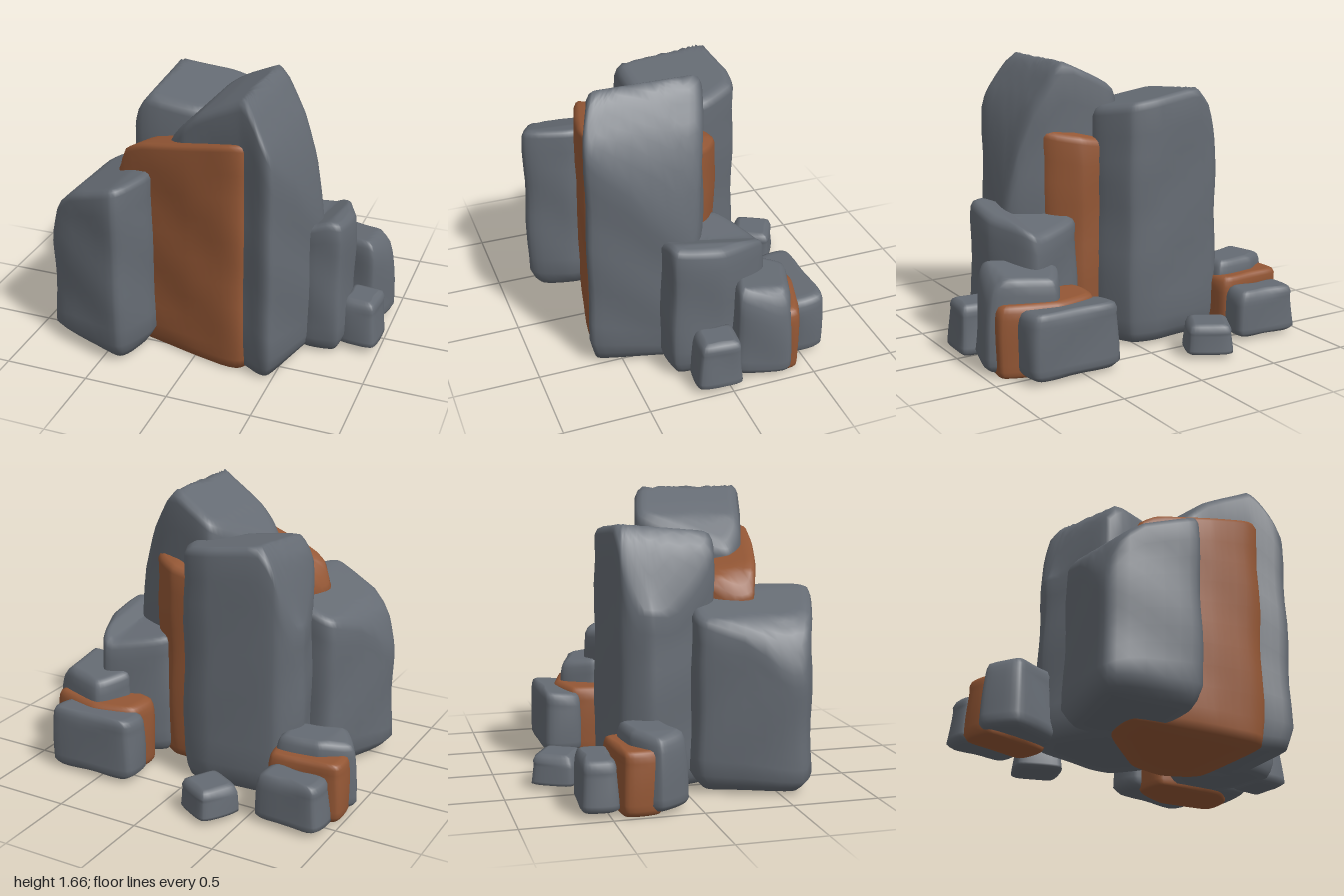
import * as THREE from 'three';

const stone = new THREE.MeshStandardMaterial({ color: 0x656b73 });
stone.name = 'greyStone';
const clay = new THREE.MeshStandardMaterial({ color: 0x945735 });
clay.name = 'rustClay';

// Rounds a closed outline by cutting its corners
function soften(points) {
  let pts = points;
  for (const cut of [0.13, 0.25, 0.25]) {
    pts = pts.flatMap((p, i) => {
      const q = pts[(i + 1) % pts.length];
      const at = (t) => [p[0] + (q[0] - p[0]) * t, p[1] + (q[1] - p[1]) * t];
      return [at(cut), at(1 - cut)];
    });
  }
  return pts;
}

// Four-cornered footprint turned about its centre
function block(x, z, width, depth, turn = 0) {
  const c = Math.cos(turn), s = Math.sin(turn);
  return [[-1, -1], [1, -1], [1, 1], [-1, 1]].map(([u, v]) => {
    const dx = u * width / 2, dz = v * depth / 2;
    return [x + dx * c - dz * s, z + dx * s + dz * c];
  });
}

// Height along x from a list of [x, height] pairs
function profileAt(profile, x) {
  if (x <= profile[0][0]) return profile[0][1];
  for (let i = 1; i < profile.length; i++) {
    const [x0, h0] = profile[i - 1], [x1, h1] = profile[i];
    if (x <= x1) return h0 + (h1 - h0) * (x - x0) / (x1 - x0);
  }
  return profile[profile.length - 1][1];
}

// Rings of a boulder from the underside centre, up the walls, to the top centre
function makeRings(bevel, foot, taper) {
  const rings = [
    { scale: 0, inset: 0, wall: 0 }, { scale: 0.6, inset: 0, wall: 0 },
    { scale: 1, inset: foot, wall: 0 }, { scale: 1, inset: foot / 2, wall: 0.04 },
  ];
  for (let k = 1; k < 10; k++) rings.push({ scale: 1, inset: taper * k / 10, wall: k / 10 });
  rings.push({ scale: 1, inset: taper, drop: bevel }, { scale: 1, inset: taper + bevel * 0.35, drop: bevel * 0.3 });
  for (let k = 10; k >= 0; k--) rings.push({ scale: k / 10, inset: taper + bevel, drop: 0 });
  return rings;
}

// A boulder: [x, z] footprint going round from +x towards +z, top profile along x, slope of the top along z
function rock(name, outline, top,
  { material = stone, slope = 0, base = 0.02, bevel = 0.04, foot = 0.04, taper = 0.012 } = {}) {
  const pts = soften(outline);
  const n = pts.length;
  const cx = pts.reduce((s, p) => s + p[0], 0) / n;
  const cz = pts.reduce((s, p) => s + p[1], 0) / n;
  const topAt = (x, z) => profileAt(top, x) + slope * (z - cz);
  const rings = makeRings(bevel, foot, taper);
  const position = [], index = [];
  rings.forEach((r, k) => {
    pts.forEach(([px, pz], i) => {
      const dx = px - cx, dz = pz - cz, len = Math.hypot(dx, dz);
      let s = r.scale * (1 - r.inset / len);
      const rim = topAt(cx + dx * (1 - taper / len), cz + dz * (1 - taper / len)) - bevel;
      const wallY = base + (rim - base) * r.wall;
      // Shallow weathering on the walls
      if (r.wall > 0.05) s += 0.006 * Math.sin(wallY * 11 + px * 9 - pz * 7) / len;
      const x = cx + dx * s, z = cz + dz * s;
      position.push(x, r.wall === undefined ? topAt(x, z) - r.drop : wallY, z);
      if (k > 0) {
        const j = (i + 1) % n;
        const a = (k - 1) * n + i, b = (k - 1) * n + j, d = k * n + i, e = k * n + j;
        if (k > 1) index.push(a, e, b);
        if (k < rings.length - 1) index.push(a, d, e);
      }
    });
  });
  // Close the top centre
  const last = (rings.length - 1) * n;
  for (let i = 0; i < n; i++) index.push(last - n + i, last + i, last - n + (i + 1) % n);
  const geometry = new THREE.BufferGeometry();
  geometry.setAttribute('position', new THREE.Float32BufferAttribute(position, 3));
  geometry.setIndex(index);
  geometry.computeVertexNormals();
  const mesh = new THREE.Mesh(geometry, material);
  mesh.name = name;
  return mesh;
}

// Flat-topped boulder on a turned block
const slab = (name, footprint, height, options) => rock(name, block(...footprint), [[0, height]], options);

export function createModel() {
  const group = new THREE.Group();
  group.name = 'rockFormation';

  // Central formation
  group.add(rock('tallPeak',
    [[-0.22, 0.39], [-0.1, 0.09], [0.01, -0.14], [0.43, -0.03], [0.66, 0.09], [0.5, 0.71], [0.3, 0.6], [-0.1, 0.5]],
    [[-0.18, 1.33], [0, 1.5], [0.12, 1.57], [0.3, 1.66], [0.36, 1.6], [0.48, 1.4], [0.56, 1.18], [0.63, 0.85]],
    { bevel: 0.05, taper: 0.005 }));
  group.add(rock('clayCore',
    [[-0.54, 0.44], [-0.46, 0.16], [0.0, -0.16], [0.26, -0.17], [0.46, -0.02], [0.33, 0.66], [-0.02, 0.59]],
    [[-0.5, 1.06], [-0.46, 1.16], [-0.37, 1.21], [0.26, 1.32]],
    { material: clay, base: 0.01, bevel: 0.035, slope: 0.24, foot: 0.02, taper: 0 }));
  group.add(rock('rearPeak',
    [[-0.66, -0.2], [-0.55, -0.36], [-0.1, -0.41], [0.06, -0.37], [0.19, -0.11], [-0.08, 0.23], [-0.52, 0.23]],
    [[-0.6, 1.05], [-0.5, 1.38], [-0.42, 1.48], [0.16, 1.4]],
    { bevel: 0.05, slope: -0.1 }));
  group.add(rock('frontShoulder',
    [[-0.7, 0.04], [-0.5, 0.04], [-0.27, 0.2], [-0.26, 0.58], [-0.36, 0.85], [-0.92, 0.64]],
    [[-0.86, 0.72], [-0.8, 0.89], [-0.7, 0.99], [-0.4, 1.1], [-0.28, 1.12]],
    { slope: 0.04, foot: 0.07 }));

  // Right-hand steps
  group.add(rock('upperStep',
    [[0.24, -0.16], [0.66, -0.35], [0.81, -0.02], [0.79, 0.29], [0.54, 0.31]],
    [[0.3, 0.8], [0.6, 0.78], [0.7, 0.82], [0.8, 0.81]], { slope: 0.17 }));
  group.add(rock('middleStep',
    [[0.44, -0.28], [0.58, -0.52], [1.01, -0.37], [0.92, -0.03], [0.6, -0.1]],
    [[0.86, 0.56], [0.92, 0.51], [0.97, 0.42]], { slope: 0.15, taper: 0.035 }));
  group.add(slab('smallStep', [0.87, 0.055, 0.25, 0.28, 0.08], 0.32, { taper: 0.02 }));
  group.add(rock('rightClaySeam',
    [[0.31, -0.23], [0.33, -0.46], [0.6, -0.55], [0.95, -0.43], [0.92, -0.24], [0.75, -0.13]],
    [[0, 0.41]], { material: clay, base: 0, foot: 0.02 }));
  group.add(slab('rearStep', [0.56, -0.52, 0.58, 0.25, -0.02], 0.39, { slope: -0.1 }));

  // Left-hand outcrop
  group.add(rock('outcropFront',
    [[-1.03, -0.24], [-0.84, -0.41], [-0.53, -0.41], [-0.51, -0.13], [-0.9, -0.03]],
    [[-0.95, 0.41], [-0.85, 0.43]], { taper: 0.035 }));
  group.add(slab('leftClaySeam', [-0.755, -0.34, 0.46, 0.24, -0.08], 0.35,
    { material: clay, base: 0, bevel: 0.03, foot: 0.02 }));
  group.add(slab('outcropRear', [-0.75, -0.54, 0.42, 0.22, 0.07], 0.3, { taper: 0.02 }));

  // Loose boulder behind
  group.add(slab('looseBoulder', [-0.285, -0.66, 0.28, 0.27, 0.5], 0.2));
  return group;
}
